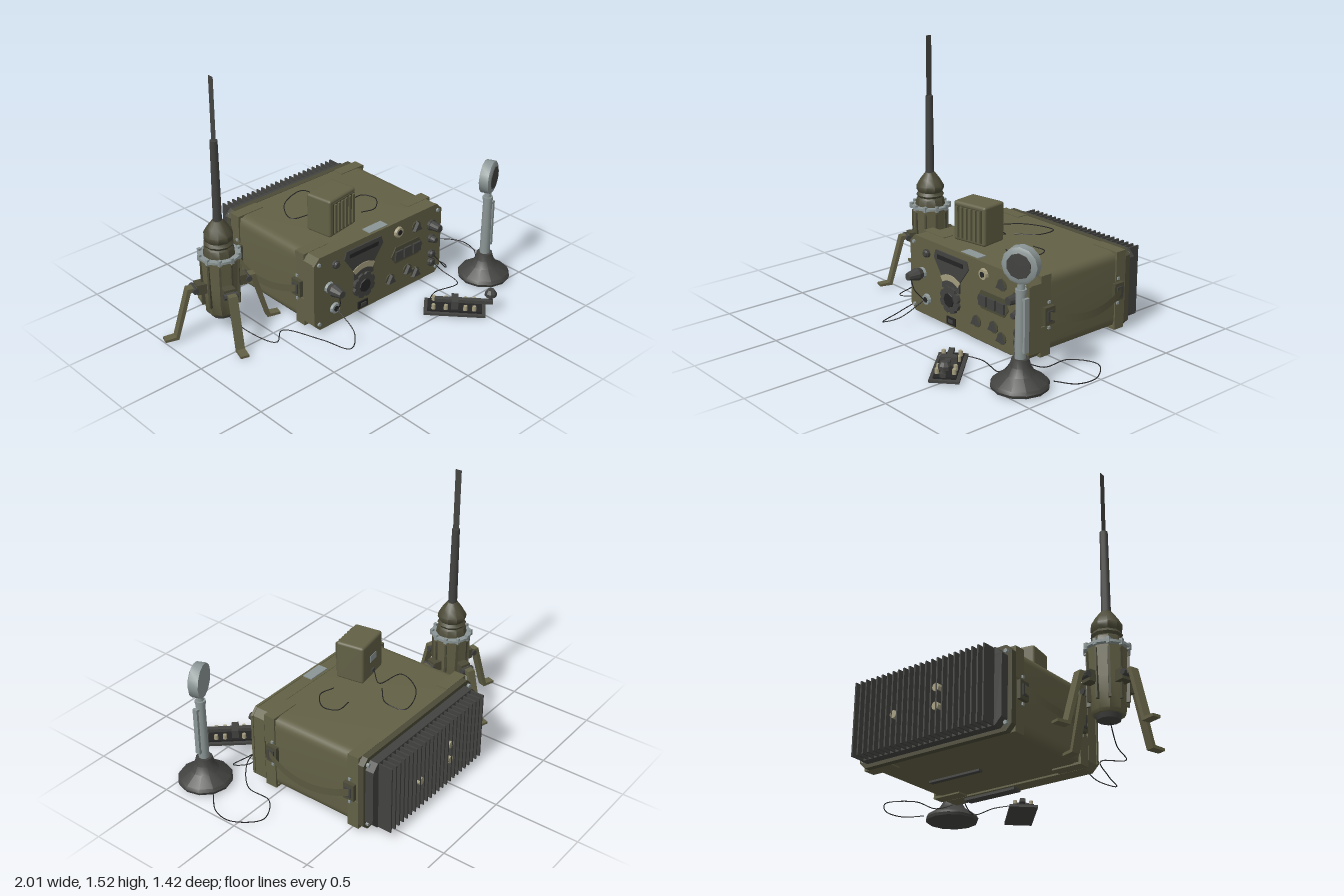
import * as THREE from 'three';
import { toCreasedNormals } from 'three/addons/utils/BufferGeometryUtils.js';
import { RoundedBoxGeometry } from 'three/addons/geometries/RoundedBoxGeometry.js';

const mat = (name, color, side = THREE.FrontSide) => {
  const m = new THREE.MeshStandardMaterial({ color, side });
  m.name = name;
  return m;
};

export function createModel() {
  const root = new THREE.Group();
  const olive = mat('olive', 0x626045), darkOlive = mat('dark olive', 0x4c4b38);
  const dark = mat('charcoal', 0x424240), black = mat('black', 0x252525);
  const steel = mat('steel', 0x8c9696), beige = mat('beige', 0xa39c7e);
  const strapMat = mat('strap olive', 0x5a583f, THREE.DoubleSide);
  const tipMat = mat('antenna grey', 0x444442, THREE.DoubleSide);

  const group = (name, parent = root) => {
    const g = new THREE.Group();
    g.name = name;
    parent.add(g);
    return g;
  };
  const add = (p, name, geo, m, x = 0, y = 0, z = 0) => {
    const o = new THREE.Mesh(geo, m);
    o.name = name;
    o.position.set(x, y, z);
    p.add(o);
    return o;
  };
  const box = (p, name, m, w, h, d, x, y, z) => add(p, name, new THREE.BoxGeometry(w, h, d), m, x, y, z);
  // cylinder lying along z, from z0 to z1
  const peg = (p, name, m, r0, r1, z0, z1, x, y, n = 12) => {
    const g = new THREE.CylinderGeometry(r1, r0, z1 - z0, n);
    g.rotateX(Math.PI / 2);
    return add(p, name, toCreasedNormals(g, 0.6), m, x, y, (z0 + z1) / 2);
  };
  const poly = pts => new THREE.Shape(pts.map(a => new THREE.Vector2(a[0], a[1])));
  const slab = (p, name, m, shape, z0, z1) =>
    add(p, name, new THREE.ExtrudeGeometry(shape, { depth: z1 - z0, bevelEnabled: false, curveSegments: 6 }), m, 0, 0, z0);
  const chamfered = (x0, x1, y0, y1, c) => poly([[x0 + c, y0], [x1 - c, y0], [x1, y0 + c], [x1, y1 - c],
    [x1 - c, y1], [x0 + c, y1], [x0, y1 - c], [x0, y0 + c]]);
  const lathe = (pts, n) => toCreasedNormals(
    new THREE.LatheGeometry(pts.map(a => new THREE.Vector2(a[0], a[1])), n), 0.55);

  // ---- radio case ----
  const radio = group('radio');
  const R = 0.06, L = -0.335, E = 0.63, B = 0.03, T = 0.475;
  const section = new THREE.Shape();
  section.moveTo(L + R, B); section.lineTo(E - R, B); section.quadraticCurveTo(E, B, E, B + R);
  section.lineTo(E, T - R); section.quadraticCurveTo(E, T, E - R, T);
  section.lineTo(L + R, T); section.quadraticCurveTo(L, T, L, T - R);
  section.lineTo(L, B + R); section.quadraticCurveTo(L, B, L + R, B);
  const body = slab(radio, 'case', olive, section, -0.55, 0.09);
  body.geometry = toCreasedNormals(body.geometry, 0.5);
  slab(radio, 'frontFrame', olive, chamfered(-0.345, 0.64, 0.02, 0.477, 0.035), 0.085, 0.16);
  slab(radio, 'frontPanel', olive, chamfered(-0.35, 0.645, 0.02, 0.48, 0.04), 0.16, 0.175);
  slab(radio, 'rearRim', darkOlive, chamfered(-0.345, 0.64, 0.02, 0.477, 0.035), -0.585, -0.55);
  box(radio, 'bottomRail', dark, 0.34, 0.012, 0.03, 0.31, 0.024, -0.2);
  box(radio, 'bottomStrip', dark, 0.34, 0.015, 0.06, 0.31, 0.008, 0.12);
  box(radio, 'topLabel', steel, 0.14, 0.006, 0.06, 0.15, 0.48, 0.13);

  // corner brackets and screws
  for (const [x, s] of [[-0.342, 1], [0.637, -1]])
    for (const z of [-0.515, 0.05])
      for (const [y, v] of [[0.478, -1], [0.022, 1]]) {
        box(radio, 'cornerBracketFlat', olive, 0.18, 0.014, 0.07, x + s * 0.09, y + v * 0.006, z);
        box(radio, 'cornerBracketSide', olive, 0.014, 0.17, 0.07, x + s * 0.006, y + v * 0.085, z);
      }
  for (const x of [-0.315, 0.61]) for (const y of [0.06, 0.44]) {
    peg(radio, 'panelScrew', steel, 0.013, 0.011, 0.17, 0.185, x, y, 6);
    peg(radio, 'rearScrew', steel, 0.012, 0.012, -0.6, -0.58, x, y, 6);
  }

  // side carrying straps with buckles
  for (const [x, s, name] of [[-0.345, -1, 'rightStrap'], [0.64, 1, 'leftStrap']]) {
    const g = group(name, radio);
    for (const z of [0.03, -0.495]) {
      box(g, 'buckle', darkOlive, 0.025, 0.1, 0.07, x, 0.25, z);
      box(g, 'bucklePad', dark, 0.012, 0.06, 0.04, x + s * 0.014, 0.25, z);
      for (const y of [0.18, 0.325]) box(g, 'strapScrew', steel, 0.012, 0.015, 0.015, x, y, z);
    }
    const geo = new THREE.PlaneGeometry(1, 0.045, 16, 1), q = geo.attributes.position;
    for (let i = 0; i < q.count; i++) {
      const t = q.getX(i) * 2, bow = 1 - t * t;
      q.setXYZ(i, x + s * (0.02 + 0.035 * bow), 0.255 - 0.055 * bow + q.getY(i), -0.232 + t * 0.27);
    }
    geo.computeVertexNormals();
    add(g, 'strap', geo, strapMat);
  }

  // rear heat sink
  const sink = group('heatSink', radio);
  slab(sink, 'sinkPlate', dark, chamfered(-0.32, 0.625, 0.04, 0.455, 0.04), -0.635, -0.585);
  for (let i = 0; i < 24; i++)
    box(sink, 'fin', dark, 0.009, 0.41, 0.085, -0.27 + i * 0.0367, 0.245, -0.675);
  for (const [x, y] of [[0.305, 0.21], [0.03, 0.29], [0.03, 0.19]])
    peg(sink, 'sinkPost', beige, 0.022, 0.022, -0.717, -0.63, x, y, 8);

  // ---- front panel controls ----
  const panel = group('controls', radio);
  const Z = 0.175;
  slab(panel, 'dialPlate', dark, poly([[-0.13, 0.4], [-0.06, 0.3], [-0.06, 0.24], [0.09, 0.24], [0.09, 0.3],
    [0.165, 0.4], [0.15, 0.445], [-0.115, 0.445]]), Z, Z + 0.008);
  box(panel, 'dialSlot', black, 0.22, 0.025, 0.006, 0.015, 0.41, Z + 0.009);
  const arc = new THREE.Shape();
  arc.absarc(0.015, 0.185, 0.145, 0.95, Math.PI - 0.95, false);
  arc.absarc(0.015, 0.185, 0.11, Math.PI - 0.95, 0.95, true);
  slab(panel, 'dialWindow', beige, arc, Z + 0.008, Z + 0.012);
  const star = [];
  for (let i = 0; i < 32; i++) {
    const a = i * Math.PI / 16, r = i % 4 === 0 ? 0.068 : 0.08;
    star.push([0.015 + r * Math.cos(a), 0.185 + r * Math.sin(a)]);
  }
  slab(panel, 'tuningKnob', dark, poly(star), Z, 0.195);
  peg(panel, 'tuningCap', black, 0.045, 0.04, 0.19, 0.2, 0.015, 0.185, 8);
  box(panel, 'lowerPlate', black, 0.075, 0.045, 0.014, 0.015, 0.055, Z);
  box(panel, 'lowerButton', dark, 0.04, 0.02, 0.014, 0.015, 0.055, Z + 0.005);
  slab(panel, 'switchPlate', darkOlive, poly([[0.235, 0.265], [0.27, 0.215], [0.455, 0.215], [0.49, 0.265],
    [0.455, 0.32], [0.27, 0.32]]), Z, Z + 0.006);
  for (let i = 0; i < 3; i++) box(panel, 'switch', dark, 0.058, 0.06, 0.02, 0.29 + i * 0.072, 0.265, Z + 0.008);
  // x, y, radius, tip z
  for (const [x, y, r, z] of [[-0.195, 0.4, 0.025, 0.2], [0.56, 0.36, 0.034, 0.25], [0.562, 0.27, 0.026, 0.22],
    [0.565, 0.165, 0.026, 0.2], [0.565, 0.11, 0.026, 0.2]]) {
    peg(panel, 'knobSkirt', dark, r, r, Z, Z + 0.015, x, y, 10);
    peg(panel, 'knob', dark, r * 0.85, r * 0.65, Z + 0.015, z, x, y, 10);
  }
  for (const [x, y] of [[0.435, 0.395], [0.23, 0.125], [0.37, 0.135], [0.435, 0.09]]) {
    peg(panel, 'selectorBase', darkOlive, 0.035, 0.035, Z, Z + 0.006, x, y, 12);
    const k = peg(panel, 'selector', dark, 0.038, 0.032, Z, Z + 0.025, x, y, 3);
    k.rotation.z = Math.PI;
  }
  for (const [x, y, m] of [[-0.24, 0.27, steel], [-0.2, 0.12, steel], [0.29, 0.415, beige]]) {
    peg(panel, 'socketRing', m, 0.034, 0.03, Z, Z + 0.015, x, y, 10);
    peg(panel, 'socketCore', black, 0.017, 0.017, Z + 0.012, Z + 0.018, x, y, 8);
  }
  peg(panel, 'plugCollar', dark, 0.028, 0.038, 0.185, 0.22, -0.24, 0.27, 10);
  peg(panel, 'plug', dark, 0.038, 0.022, 0.22, 0.285, -0.24, 0.27, 10);

  // ---- speaker box on the lid ----
  const speaker = group('speakerBox');
  speaker.position.set(-0.018, 0.475, -0.052);
  speaker.rotation.y = 0.16;
  add(speaker, 'speakerCase', new RoundedBoxGeometry(0.23, 0.23, 0.17, 2, 0.015), olive, 0, 0.115, 0);
  box(speaker, 'grille', darkOlive, 0.19, 0.19, 0.012, 0, 0.115, 0.085);
  for (let i = 0; i < 6; i++) box(speaker, 'louver', olive, 0.017, 0.18, 0.02, -0.08 + i * 0.032, 0.115, 0.091);
  box(speaker, 'rearLabel', steel, 0.07, 0.04, 0.006, 0, 0.12, -0.086);
  box(speaker, 'rearSocket', dark, 0.03, 0.02, 0.02, 0.01, 0.04, -0.086);

  // ---- antenna on four legs ----
  const antenna = group('antenna');
  antenna.position.set(-0.675, 0, -0.23);
  add(antenna, 'canister', lathe([[0, 0.125], [0.08, 0.125], [0.09, 0.14], [0.1, 0.3], [0.107, 0.47], [0, 0.47]], 10), olive);
  for (let i = 0; i < 10; i++) {
    const a = i * Math.PI / 5, rib = box(antenna, 'rib', darkOlive, 0.012, 0.27, 0.02, 0.101 * Math.sin(a), 0.32, 0.101 * Math.cos(a));
    rib.rotation.y = a;
    box(antenna, 'flangeBolt', steel, 0.018, 0.035, 0.018, 0.112 * Math.sin(a), 0.485, 0.112 * Math.cos(a));
  }
  add(antenna, 'bottomPlug', new THREE.CylinderGeometry(0.07, 0.06, 0.03, 10), dark, 0, 0.115, 0);
  add(antenna, 'flange', new THREE.CylinderGeometry(0.122, 0.122, 0.014, 10), steel, 0, 0.483, 0);
  add(antenna, 'boot', lathe([[0.09, 0.488], [0.083, 0.53], [0.075, 0.54], [0.084, 0.555], [0.073, 0.572],
    [0.083, 0.59], [0.083, 0.61], [0.06, 0.65], [0.03, 0.69], [0, 0.7]], 10), darkOlive);
  add(antenna, 'mast', new THREE.CylinderGeometry(0.022, 0.026, 0.48, 10), dark, 0, 0.92, 0);
  const tip = add(antenna, 'antennaTip', new THREE.PlaneGeometry(0.04, 0.36), tipMat, 0, 1.34, 0);
  tip.rotation.y = Math.PI / 2;
  const legShape = poly([[0.09, 0.29], [0.18, 0.29], [0.262, 0.012], [0.34, 0.012], [0.34, 0.026],
    [0.278, 0.03], [0.198, 0.315], [0.09, 0.315]]);
  for (let i = 0; i < 4; i++) {
    const leg = group('leg', antenna);
    leg.rotation.y = -0.3 + i * Math.PI / 2;
    slab(leg, 'legBar', olive, legShape, -0.024, 0.024);
    box(leg, 'legBracket', darkOlive, 0.06, 0.06, 0.065, 0.115, 0.3, 0);
    peg(leg, 'legPivot', dark, 0.018, 0.018, -0.04, 0.04, 0.155, 0.3, 8);
  }

  // ---- desk microphone ----
  const mic = group('microphone');
  mic.position.set(0.807, 0, 0.385);
  add(mic, 'micBase', lathe([[0, 0.014], [0.15, 0.014], [0.155, 0.03], [0.145, 0.048], [0.08, 0.09], [0.055, 0.13],
    [0.045, 0.17], [0, 0.17]], 12), dark);
  add(mic, 'micStem', new THREE.CylinderGeometry(0.026, 0.03, 0.36, 10), steel, 0, 0.35, 0);
  add(mic, 'micCollar', new THREE.CylinderGeometry(0.03, 0.03, 0.02, 10), steel, 0, 0.53, 0);
  add(mic, 'micNeck', new THREE.CylinderGeometry(0.016, 0.022, 0.08, 8), steel, 0, 0.56, 0);
  box(mic, 'talkBar', steel, 0.014, 0.29, 0.03, 0.04, 0.355, 0);
  for (const y of [0.22, 0.49]) box(mic, 'talkBarMount', steel, 0.03, 0.014, 0.025, 0.028, y, 0);
  const head = group('micHead', mic);
  head.position.y = 0.668;
  head.rotation.y = 0.41;
  peg(head, 'micHousing', steel, 0.097, 0.097, -0.03, 0.024, 0, 0, 12);
  peg(head, 'micRim', steel, 0.097, 0.082, 0.024, 0.032, 0, 0, 12);
  peg(head, 'micGrille', dark, 0.068, 0.066, 0.03, 0.036, 0, 0, 10);

  // ---- telegraph key ----
  const key = group('telegraphKey');
  key.position.set(0.41, 0, 0.522);
  key.rotation.y = -0.84;
  box(key, 'keyBase', dark, 0.35, 0.014, 0.16, 0, 0.016, 0);
  box(key, 'keyDeck', black, 0.31, 0.012, 0.12, 0, 0.028, 0);
  box(key, 'lever', dark, 0.33, 0.02, 0.03, 0.05, 0.07, 0);
  box(key, 'fulcrum', dark, 0.04, 0.06, 0.09, 0.0, 0.055, 0);
  add(key, 'keyKnob', lathe([[0.01, 0.07], [0.013, 0.095], [0.034, 0.105], [0.034, 0.125], [0.02, 0.145], [0, 0.148]], 8), dark, 0.2, 0, -0.01);
  for (const x of [-0.12, -0.05, 0.06, 0.11]) for (const z of [-0.045, 0.045])
    add(key, 'terminal', new THREE.CylinderGeometry(0.011, 0.013, 0.035, 8), beige, x, 0.045, z);

  // ---- loose cables ----
  const cables = group('cables');
  const cable = (name, pts) => add(cables, name, new THREE.TubeGeometry(
    new THREE.CatmullRomCurve3(pts.map(a => new THREE.Vector3(...a))), 60, 0.003, 5), black);
  cable('antennaCable', [[-0.675, 0.12, -0.23], [-0.62, 0.03, -0.08], [-0.56, 0.016, 0.1], [-0.46, 0.016, 0.03],
    [-0.36, 0.016, 0.25], [-0.3, 0.016, 0.42], [-0.22, 0.05, 0.36], [-0.2, 0.12, 0.2]]);
  cable('panelCable', [[-0.24, 0.25, 0.26], [-0.225, 0.19, 0.25], [-0.2, 0.12, 0.2]]);
  cable('microphoneCable', [[0.9, 0.03, 0.24], [0.98, 0.016, 0.15], [0.996, 0.016, 0.03], [0.88, 0.016, -0.1],
    [0.74, 0.016, -0.02], [0.72, 0.016, 0.15], [0.62, 0.08, 0.24], [0.565, 0.165, 0.2]]);
  cable('keyCable', [[0.32, 0.03, 0.4], [0.45, 0.016, 0.33], [0.62, 0.016, 0.35], [0.6, 0.06, 0.24], [0.565, 0.11, 0.2]]);
  cable('speakerCable', [[-0.04, 0.5, -0.14], [0.02, 0.48, -0.22], [-0.13, 0.48, -0.26], [-0.05, 0.48, -0.42],
    [0.14, 0.48, -0.48], [0.15, 0.48, -0.36], [0.05, 0.48, -0.26]]);
  cable('lidCable', [[0.21, 0.48, -0.05], [0.3, 0.48, -0.03], [0.39, 0.48, -0.12], [0.36, 0.48, -0.2], [0.27, 0.48, -0.2]]);
  return root;
}
